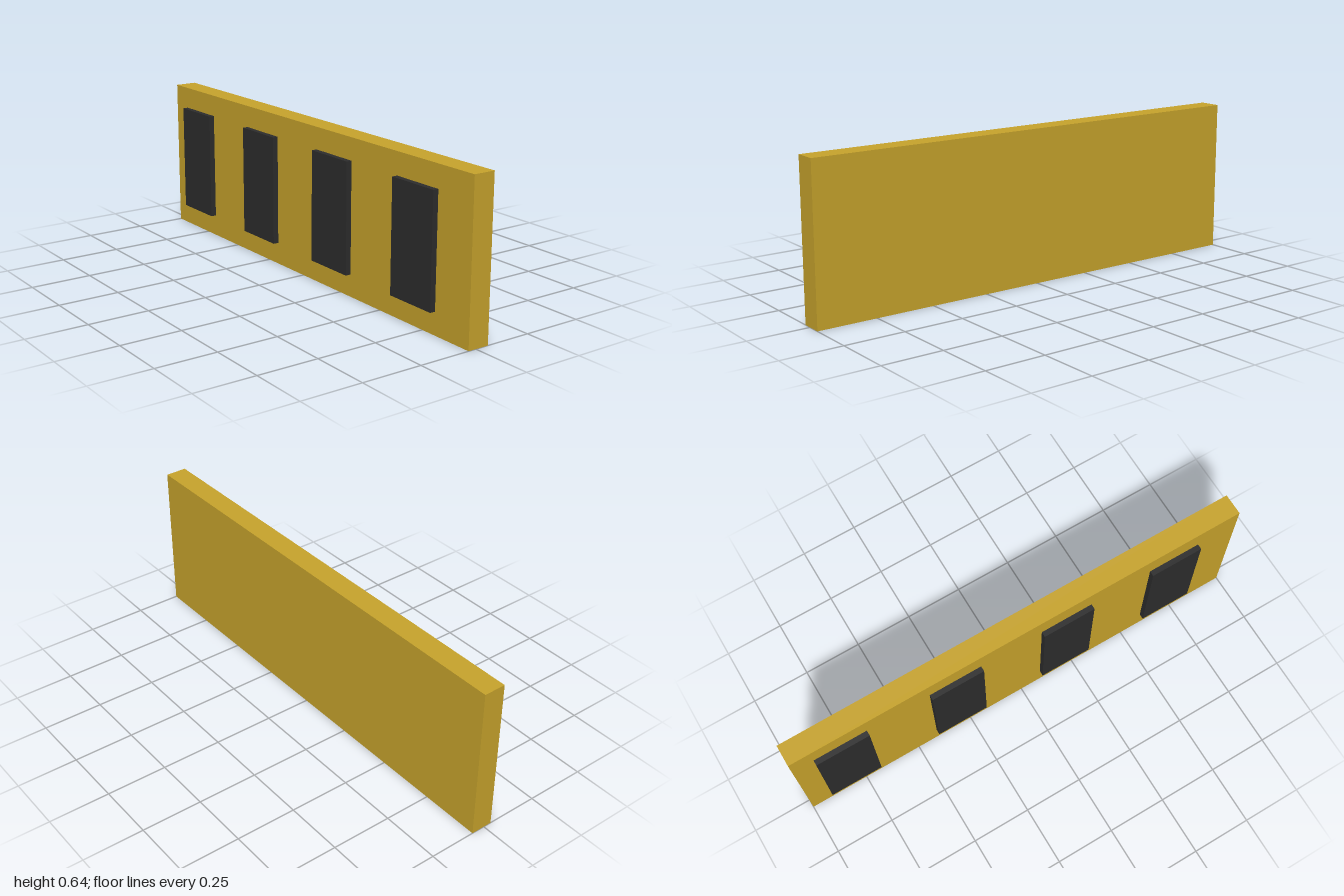
import * as THREE from 'three';

const boardColor = new THREE.MeshStandardMaterial({ color: 0xc8a42c });
boardColor.name = 'mustard yellow';
const panelColor = new THREE.MeshStandardMaterial({ color: 0x2d2d2d });
panelColor.name = 'charcoal';

// Box placed by its centre
function addBox(parent, name, material, size, position) {
  const mesh = new THREE.Mesh(new THREE.BoxGeometry(...size), material);
  mesh.name = name;
  mesh.position.set(...position);
  parent.add(mesh);
}

export function createModel() {
  const model = new THREE.Group();
  model.name = 'panelledBoard';

  // Backing board
  const height = 0.6364, depth = 0.0909, back = -0.0568;
  const front = back + depth;
  addBox(model, 'board', boardColor, [2, height, depth], [0, height / 2, back + depth / 2]);

  // Row of four raised panels, set slightly towards the right end
  const raise = 0.0227;
  for (let i = 0; i < 4; i++) {
    addBox(model, `panel${i + 1}`, panelColor, [0.2273, 0.4545, raise],
      [-0.7955 + i * 0.5, height / 2, front + raise / 2]);
  }

  return model;
}
